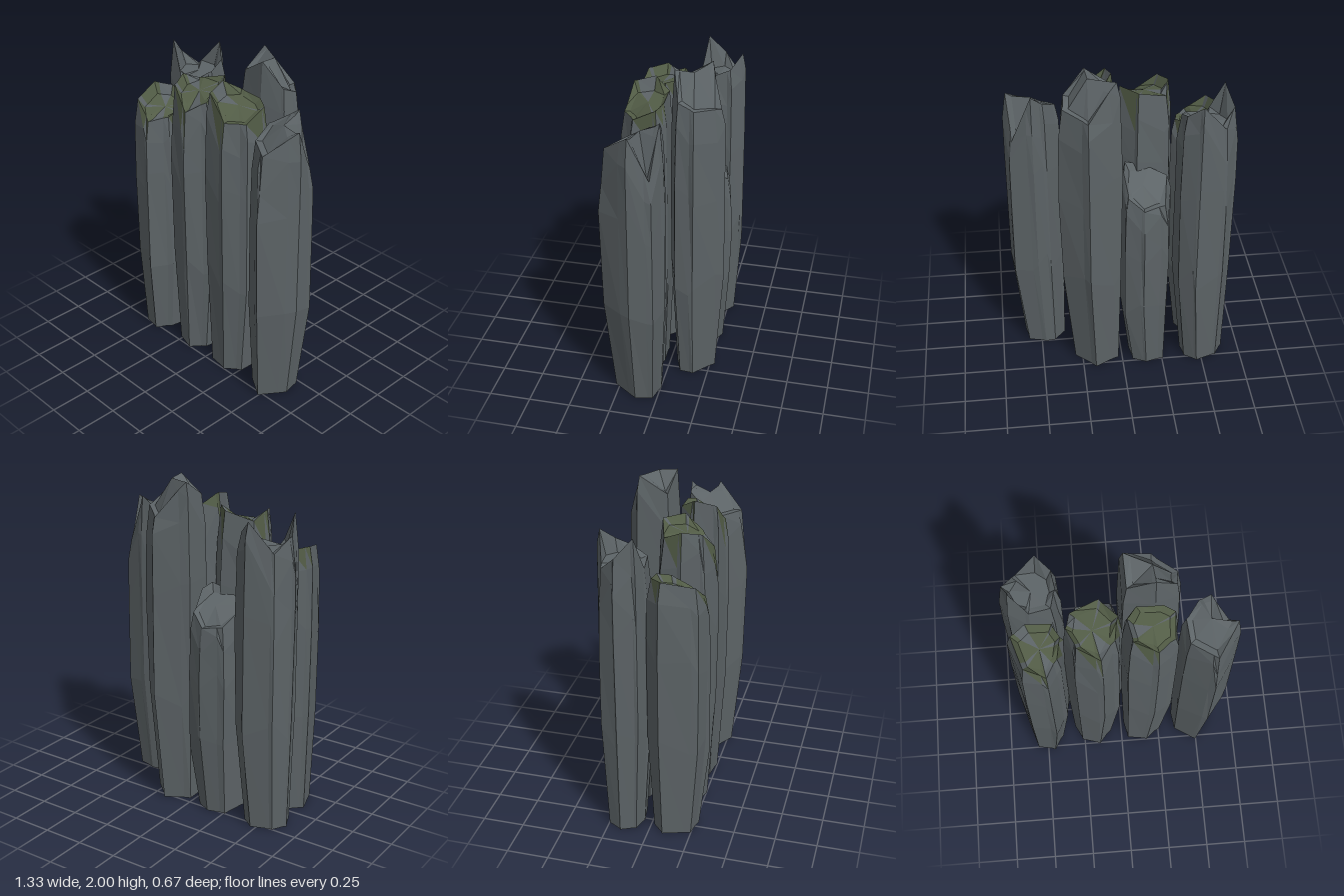
import * as THREE from 'three';

const stone = new THREE.MeshStandardMaterial({ color: 0x5c6366, flatShading: true });
const moss = new THREE.MeshStandardMaterial({ color: 0x525c46, flatShading: true });

// Share of the column's height, and width, at each ring from foot to rim
const LEVELS = [[0, 0.74], [0.37, 0.97], [0.73, 0.99], [0.91, 0.94], [1, 0.82]];

function seeded(seed) {
  let s = seed * 7919 + 17;
  const next = () => (s = (s * 16807) % 2147483647) / 2147483647 - 0.5;
  next();
  return next;
}

function meshOf(name, positions, material) {
  const geometry = new THREE.BufferGeometry();
  geometry.setAttribute('position', new THREE.Float32BufferAttribute(positions, 3));
  geometry.computeVertexNormals();
  const mesh = new THREE.Mesh(geometry, material);
  mesh.name = name;
  return mesh;
}

// corners: [x, z, rim height] around the widest outline
// floor: [height, slope in x, slope in z] of the broken top
// mossEvery: 0 for bare stone, else every such facet of the top stays bare
function column(name, seed, corners, [floorY, slopeX, slopeZ], mossEvery) {
  const rnd = seeded(seed);
  const n0 = corners.length;
  const cx = corners.reduce((t, c) => t + c[0], 0) / n0;
  const cz = corners.reduce((t, c) => t + c[1], 0) / n0;

  // A second point beside each corner gives the narrow cracked edge strips
  const outline = corners.flatMap((c, i) => {
    const d = corners[(i + 1) % n0];
    const t = 0.2 + 0.2 * rnd();
    const p = c.map((v, k) => v + (d[k] - v) * t);
    const inset = 0.98 + 0.05 * rnd();
    return [c, [cx + (p[0] - cx) * inset, cz + (p[1] - cz) * inset, p[2]]];
  });
  const n = outline.length;

  const rings = LEVELS.map(([h, w], k) => {
    const inner = k > 0 && k < LEVELS.length - 1;
    return outline.map(([x, z, top]) => {
      const s = w * (inner ? 1 + 0.06 * rnd() : 1);
      const y = top * (h + (inner ? 0.1 * rnd() : 0));
      const shift = k === 0 ? -0.025 : 0;
      return [cx + (x - cx) * s + shift, y, cz + (z - cz) * s];
    });
  });

  // Flat sloping floor of the top, inside the rim
  const last = rings.length - 1;
  const floor = rings[last].map(([x, y, z]) => {
    const [dx, dz] = [(x - cx) * 0.75, (z - cz) * 0.75];
    return [cx + dx, Math.min(y, floorY + slopeX * dx + slopeZ * dz), cz + dz];
  });

  const rock = [], green = [];
  const tri = (list, a, b, c) => list.push(...a, ...b, ...c);
  const middle = [cx, floorY, cz];
  const foot = [cx - 0.025, 0, cz];
  for (let i = 0; i < n; i++) {
    const j = (i + 1) % n;
    // Sides, with tapering moss hanging from parts of the rim
    for (let k = 0; k < last; k++) {
      const hanging = mossEvery && k === last - 1 && i % 4 < 2;
      const [a, b, c, d] = [rings[k][i], rings[k + 1][i], rings[k + 1][j], rings[k][j]];
      tri(hanging ? green : rock, a, b, c);
      tri(rock, a, c, d);
    }
    // Broken top and flat foot
    const top = mossEvery && i % mossEvery ? green : rock;
    tri(top, rings[last][i], floor[i], floor[j]);
    tri(top, rings[last][i], floor[j], rings[last][j]);
    tri(top, middle, floor[j], floor[i]);
    tri(rock, foot, rings[0][i], rings[0][j]);
  }

  const group = new THREE.Group();
  group.name = name;
  group.add(meshOf('stoneColumn', rock, stone));
  if (green.length) group.add(meshOf('mossCap', green, moss));
  return group;
}

export function createModel() {
  const model = new THREE.Group();
  model.name = 'basaltColumns';

  // Front row, from -x to +x
  model.add(column('frontColumn1', 1, [
    [-0.31, 0.06, 1.58], [-0.34, 0.2, 1.54], [-0.42, 0.325, 1.52], [-0.57, 0.29, 1.62],
    [-0.64, 0.07, 1.66], [-0.54, -0.02, 1.64], [-0.36, -0.03, 1.6]], [1.56, -0.25, -0.15], 3));
  model.add(column('frontColumn2', 2, [
    [0.02, 0.06, 1.82], [-0.01, 0.19, 1.74], [-0.11, 0.3, 1.68], [-0.27, 0.25, 1.8],
    [-0.33, 0.12, 1.82], [-0.3, -0.01, 1.77], [-0.1, -0.07, 1.82]], [1.76, 0, -0.2], 3));
  model.add(column('frontColumn3', 3, [
    [0.33, 0.04, 1.79], [0.32, 0.2, 1.72], [0.2, 0.29, 1.72], [0.03, 0.26, 1.85],
    [0, 0.11, 1.88], [0.07, 0, 1.82], [0.25, 0, 1.81]], [1.78, -0.2, -0.1], 7));
  // Ridge across the top, with a deep chip at the back corner
  model.add(column('frontColumn4', 4, [
    [0.645, 0, 1.52], [0.67, 0.14, 1.78], [0.53, 0.335, 1.65], [0.35, 0.22, 1.66],
    [0.33, 0.07, 1.72], [0.42, -0.03, 1.77], [0.5, -0.04, 1.82]], [1.76, 0.1, -0.4], 0));

  // Back row, with the short column in the middle
  model.add(column('backColumn1', 5, [
    [-0.31, -0.14, 1.74], [-0.35, -0.03, 1.7], [-0.5, -0.01, 1.68], [-0.62, -0.05, 1.89],
    [-0.67, -0.17, 1.78], [-0.6, -0.28, 1.69], [-0.43, -0.335, 1.86], [-0.33, -0.26, 1.78]], [1.7, 0, -0.1], 0));
  model.add(column('shortBackColumn', 6, [
    [0.01, -0.12, 1.36], [-0.01, -0.02, 1.38], [-0.16, 0, 1.34], [-0.31, -0.06, 1.29],
    [-0.27, -0.28, 1.2], [-0.12, -0.315, 1.18], [-0.01, -0.26, 1.25]], [1.28, 0.1, 0.5], 0));
  model.add(column('tallBackColumn', 7, [
    [0.365, -0.17, 1.82], [0.35, -0.06, 1.86], [0.2, -0.005, 2], [0.01, -0.03, 1.9],
    [0, -0.23, 2], [0.2, -0.33, 1.79]], [1.99, -0.1, 0.1], 0));

  return model;
}
